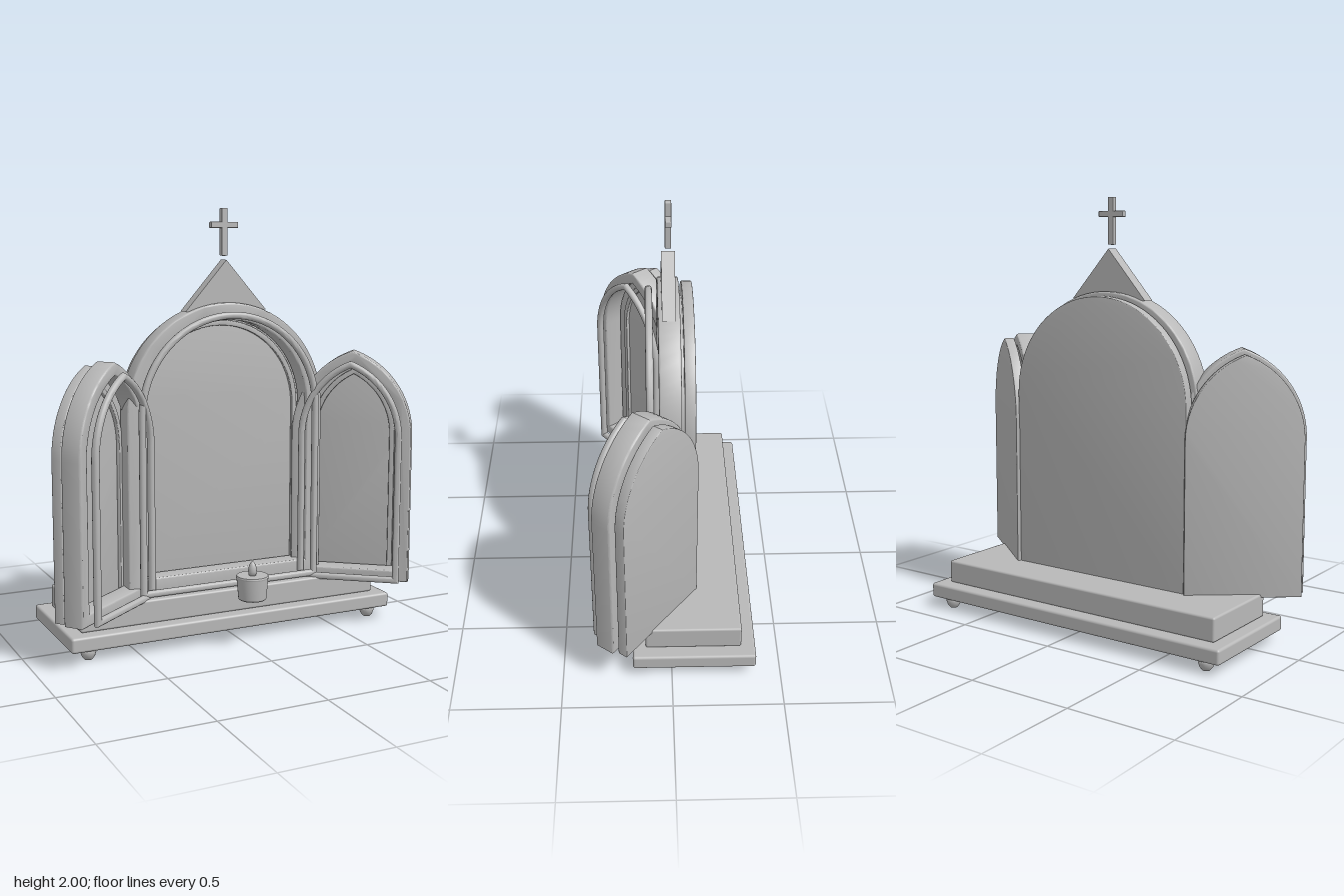
import * as THREE from 'three';
import { toCreasedNormals } from 'three/addons/utils/BufferGeometryUtils.js';
import { RoundedBoxGeometry } from 'three/addons/geometries/RoundedBoxGeometry.js';

const grey = new THREE.MeshStandardMaterial({ color: 0xb8b8b8 });
grey.name = 'stone grey';

function add(parent, name, geometry, x = 0, y = 0, z = 0) {
  const mesh = new THREE.Mesh(geometry, grey);
  mesh.name = name;
  mesh.position.set(x, y, z);
  parent.add(mesh);
  return mesh;
}

// Arch outline: half width w, springing height, bottom height.
// c shifts the arc centres past the middle: 0 is a round arch, more is pointed.
function archPoints(w, c, spring, bottom) {
  const right = [];
  const end = Math.acos(c / (w + c));
  const steps = 20;
  for (let i = 0; i <= steps; i++) {
    const a = (end * i) / steps;
    right.push(new THREE.Vector2((w + c) * Math.cos(a) - c, spring + (w + c) * Math.sin(a)));
  }
  const left = right.slice(0, -1).reverse().map(p => new THREE.Vector2(-p.x, p.y));
  return [new THREE.Vector2(-w, bottom), new THREE.Vector2(w, bottom), ...right, ...left];
}

// Arched plate or ring between z0 and z1, with a bevel kept inside its outline
function arch(w, inset, z0, z1, bevel, { c, spring, bottom }) {
  const shape = new THREE.Shape(archPoints(w - bevel, c, spring, bottom + bevel));
  if (inset) {
    shape.holes.push(new THREE.Path(archPoints(w - inset + bevel, c, spring, bottom + inset - bevel)));
  }
  const g = new THREE.ExtrudeGeometry(shape, {
    depth: z1 - z0 - 2 * bevel, bevelEnabled: bevel > 0,
    bevelSize: bevel, bevelThickness: bevel, bevelSegments: 3,
  });
  g.translate(0, 0, z0 + bevel);
  return toCreasedNormals(g, 0.6);
}

// One layered panel: back board, liner, deep frame and front moulding
function panel(name, w, style) {
  const group = new THREE.Group();
  group.name = name;
  const tight = d => ({ ...style, bottom: style.bottom + d });
  add(group, name + 'Back', arch(w - 0.02, 0, -0.112, -0.063, 0.004, style));
  add(group, name + 'Liner', arch(w - 0.085, 0.025, -0.064, -0.046, 0.003, tight(0.012)));
  add(group, name + 'Frame', arch(w, style.frame, -0.05, 0.048, 0.008, style));
  add(group, name + 'Moulding', arch(w - 0.04, 0.032, 0.07, 0.104, 0.015, tight(0.004)));
  return group;
}

export function createModel() {
  const model = new THREE.Group();
  model.name = 'triptych';

  // Stepped base on four feet
  add(model, 'baseLower', new RoundedBoxGeometry(1.645, 0.07, 0.565, 3, 0.012), 0, 0.085, -0.103);
  add(model, 'baseUpper', new RoundedBoxGeometry(1.52, 0.11, 0.44, 3, 0.01), 0, 0.175, -0.1);
  const footProfile = [[0, 0], [0.018, 0], [0.03, 0.015], [0.036, 0.034], [0.034, 0.052], [0, 0.052]]
    .map(([x, y]) => new THREE.Vector2(x, y));
  for (const x of [-0.73, 0.73]) {
    for (const z of [-0.33, 0.125]) add(model, 'foot', new THREE.LatheGeometry(footProfile, 16), x, 0, z);
  }

  // Round-headed centre panel
  model.add(panel('centrePanel', 0.5, { c: 0, spring: 1.07, bottom: 0.228, frame: 0.08 }));

  // Pointed wings, folded forward on both sides
  for (const side of [-1, 1]) {
    const wing = panel(side < 0 ? 'rightWing' : 'leftWing', 0.287,
      { c: 0.138, spring: 0.93, bottom: 0.214, frame: 0.055 });
    wing.position.set(side * 0.626, 0, 0.127);
    wing.rotation.y = -side * 0.663;
    model.add(wing);
  }

  // Gable above the arch
  const gable = new THREE.Shape([[-0.205, 1.532], [0.205, 1.532], [0, 1.765]]
    .map(([x, y]) => new THREE.Vector2(x, y)));
  add(model, 'gable', new THREE.ExtrudeGeometry(gable, { depth: 0.06, bevelEnabled: false }), 0, 0, -0.03);

  // Cross floating over the gable
  add(model, 'crossUpright', new RoundedBoxGeometry(0.03, 0.217, 0.028, 2, 0.004), 0, 1.8915, 0);
  add(model, 'crossArm', new RoundedBoxGeometry(0.136, 0.028, 0.028, 2, 0.004), 0, 1.923, 0);

  // Votive lamp in front
  const cup = [[0, 0], [0.06, 0], [0.064, 0.004], [0.073, 0.1], [0.075, 0.106], [0.072, 0.112], [0, 0.112]]
    .map(([x, y]) => new THREE.Vector2(x, y));
  add(model, 'lampCup', toCreasedNormals(new THREE.LatheGeometry(cup, 32), 0.6), 0, 0.233, 0.307);
  const flame = [[0, 0], [0.016, 0], [0.02, 0.02], [0.018, 0.04], [0.011, 0.058], [0, 0.07]]
    .map(([x, y]) => new THREE.Vector2(x, y));
  add(model, 'flame', new THREE.LatheGeometry(flame, 16), 0, 0.343, 0.307);

  return model;
}
